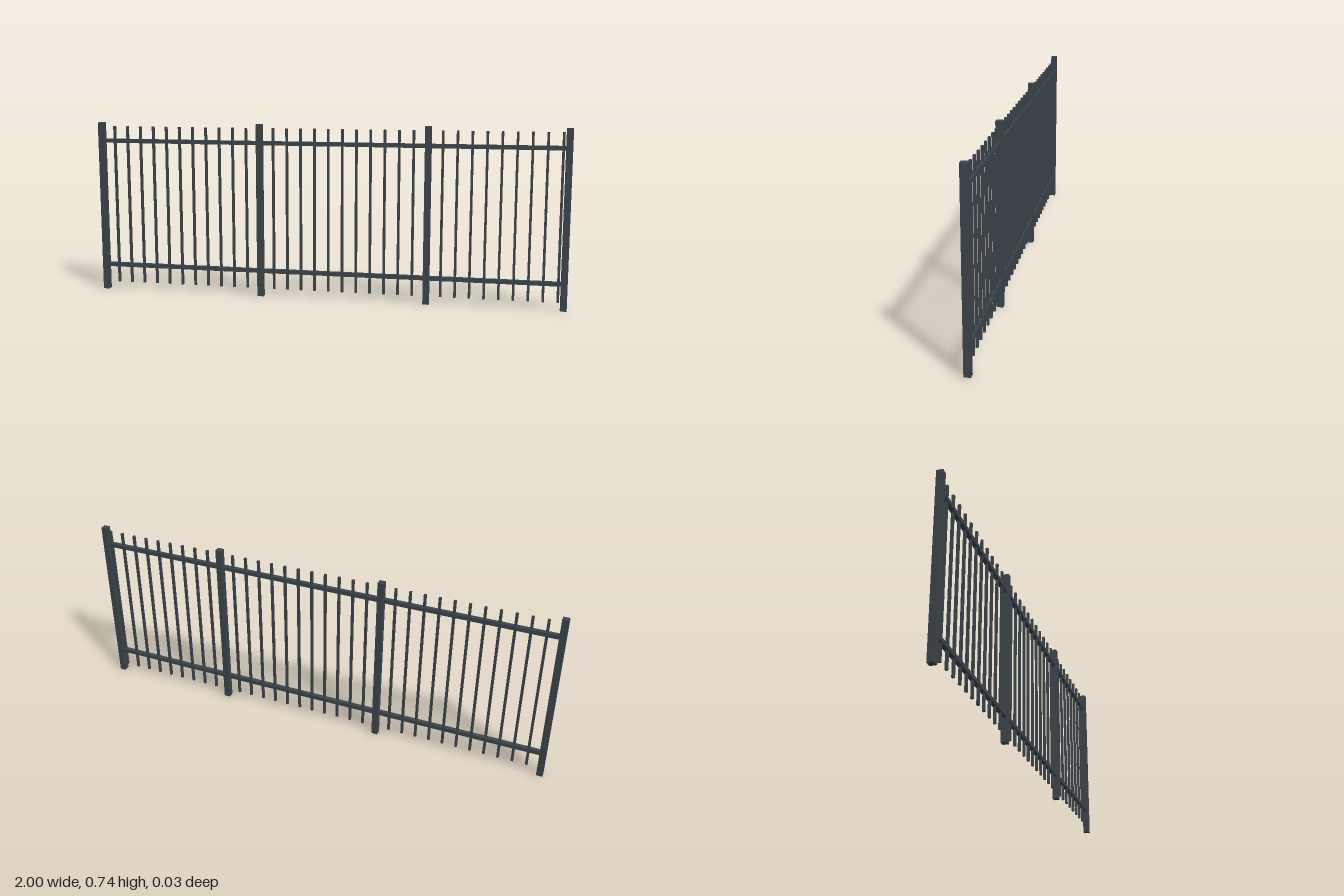
import * as THREE from 'three';

export function createModel() {
  const fence = new THREE.Group();
  fence.name = 'fence';
  const paint = new THREE.MeshStandardMaterial({ color: 0x3d464c });

  const add = (name, w, h, d, x, y) => {
    const mesh = new THREE.Mesh(new THREE.BoxGeometry(w, h, d), paint);
    mesh.name = name;
    mesh.position.set(x, y, 0);
    fence.add(mesh);
  };

  const start = -0.987, bay = 0.7095, perBay = 12;
  const postSize = 0.026, postHeight = 0.737;

  // Posts: two full bays, then one shorter bay
  for (const x of [start, start + bay, start + 2 * bay, -start]) {
    add('post', postSize, postHeight, postSize, x, postHeight / 2);
  }

  // Horizontal rails, running between the end posts
  add('lowerRail', -2 * start, 0.017, 0.018, 0, 0.11);
  add('upperRail', -2 * start, 0.017, 0.018, 0, 0.658);

  // Vertical pickets, skipping the posts
  const bottom = 0.033, top = 0.721;
  for (let i = 1; i <= 33; i++) {
    if (i % perBay === 0) continue;
    add('picket', 0.01, top - bottom, 0.01, start + (i * bay) / perBay, (top + bottom) / 2);
  }

  return fence;
}
